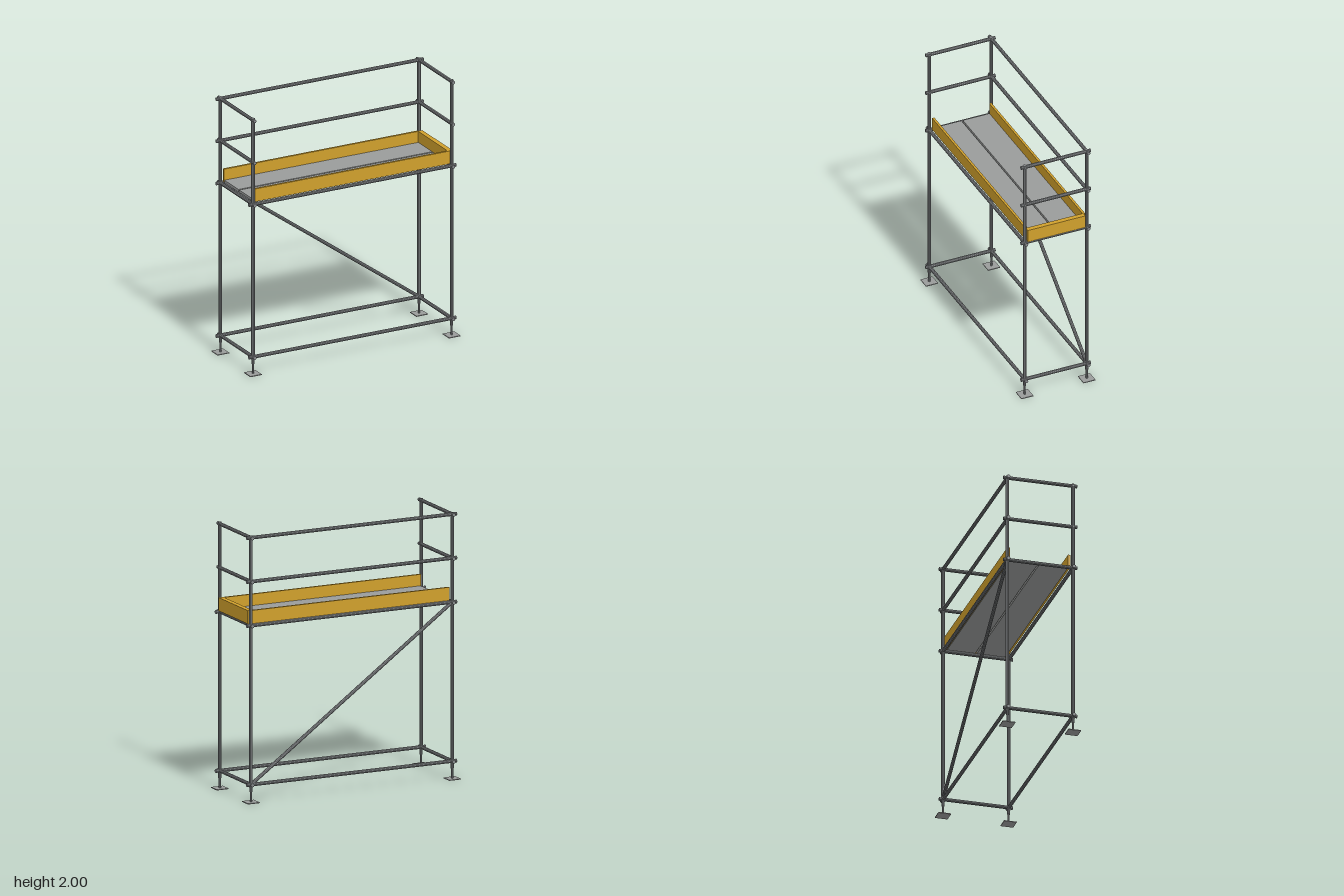
import * as THREE from 'three';

const steel = new THREE.MeshStandardMaterial({ color: 0x85888a });
steel.name = 'tubeSteel';
steel.flatShading = true;
const plate = new THREE.MeshStandardMaterial({ color: 0x9a9c9b });
plate.name = 'deckGrey';
const yellow = new THREE.MeshStandardMaterial({ color: 0xd0a02c });
yellow.name = 'toeBoardYellow';

const X = 0.825, Z = 0.25; // post positions
const R = 0.0135; // tube radius
const LEVELS = { base: 0.134, deck: 1.327, middle: 1.657, top: 1.986 };

export function createModel() {
  const model = new THREE.Group();
  model.name = 'scaffoldTower';

  // Round tube between two points
  function tube(name, a, b, r = R) {
    const start = new THREE.Vector3(...a), end = new THREE.Vector3(...b);
    const dir = end.clone().sub(start);
    const mesh = new THREE.Mesh(new THREE.CylinderGeometry(r, r, dir.length(), 10), steel);
    mesh.position.copy(start).add(end).multiplyScalar(0.5);
    mesh.quaternion.setFromUnitVectors(new THREE.Vector3(0, 1, 0), dir.normalize());
    mesh.name = name;
    model.add(mesh);
  }

  // Box given by its min and max corners
  function box(name, material, min, max) {
    const size = max.map((v, i) => v - min[i]);
    const mesh = new THREE.Mesh(new THREE.BoxGeometry(...size), material);
    mesh.position.set(...max.map((v, i) => (v + min[i]) / 2));
    mesh.name = name;
    model.add(mesh);
  }

  // Posts on screw jacks with square base plates
  for (const x of [-X, X]) {
    for (const z of [-Z, Z]) {
      tube('post', [x, 0.115, z], [x, 2, z]);
      tube('jackCollar', [x, 0.08, z], [x, 0.115, z], 0.0115);
      tube('jackScrew', [x, 0.004, z], [x, 0.085, z], 0.008);
      box('basePlate', plate, [x - 0.048, 0, z - 0.048], [x + 0.048, 0.006, z + 0.048]);
    }
  }

  // End rails at every level, overhanging the posts
  for (const y of Object.values(LEVELS)) {
    for (const x of [-X, X]) tube('endRail', [x, y, -0.28], [x, y, 0.28]);
  }

  // Long rails: all levels at the back, base and deck only at the front
  for (const y of Object.values(LEVELS)) tube('backRail', [-0.86, y, -Z], [0.86, y, -Z]);
  for (const y of [LEVELS.base, LEVELS.deck]) tube('frontRail', [-0.86, y, Z], [0.86, y, Z]);

  // Diagonal brace across the back
  tube('diagonalBrace', [-X, LEVELS.deck, -Z], [X, LEVELS.base, -Z]);

  // Two deck planks with a narrow gap
  box('deckPlank', plate, [-0.805, 1.332, -0.225], [0.805, 1.352, -0.011]);
  box('deckPlank', plate, [-0.805, 1.332, 0.001], [0.805, 1.352, 0.218]);

  // Toe boards on the front, back and one end
  box('frontToeBoard', yellow, [-0.807, 1.338, 0.218], [0.807, 1.438, 0.236]);
  box('backToeBoard', yellow, [-0.807, 1.338, -0.243], [0.807, 1.438, -0.225]);
  box('endToeBoard', yellow, [0.805, 1.338, -0.232], [0.843, 1.438, 0.232]);

  return model;
}
